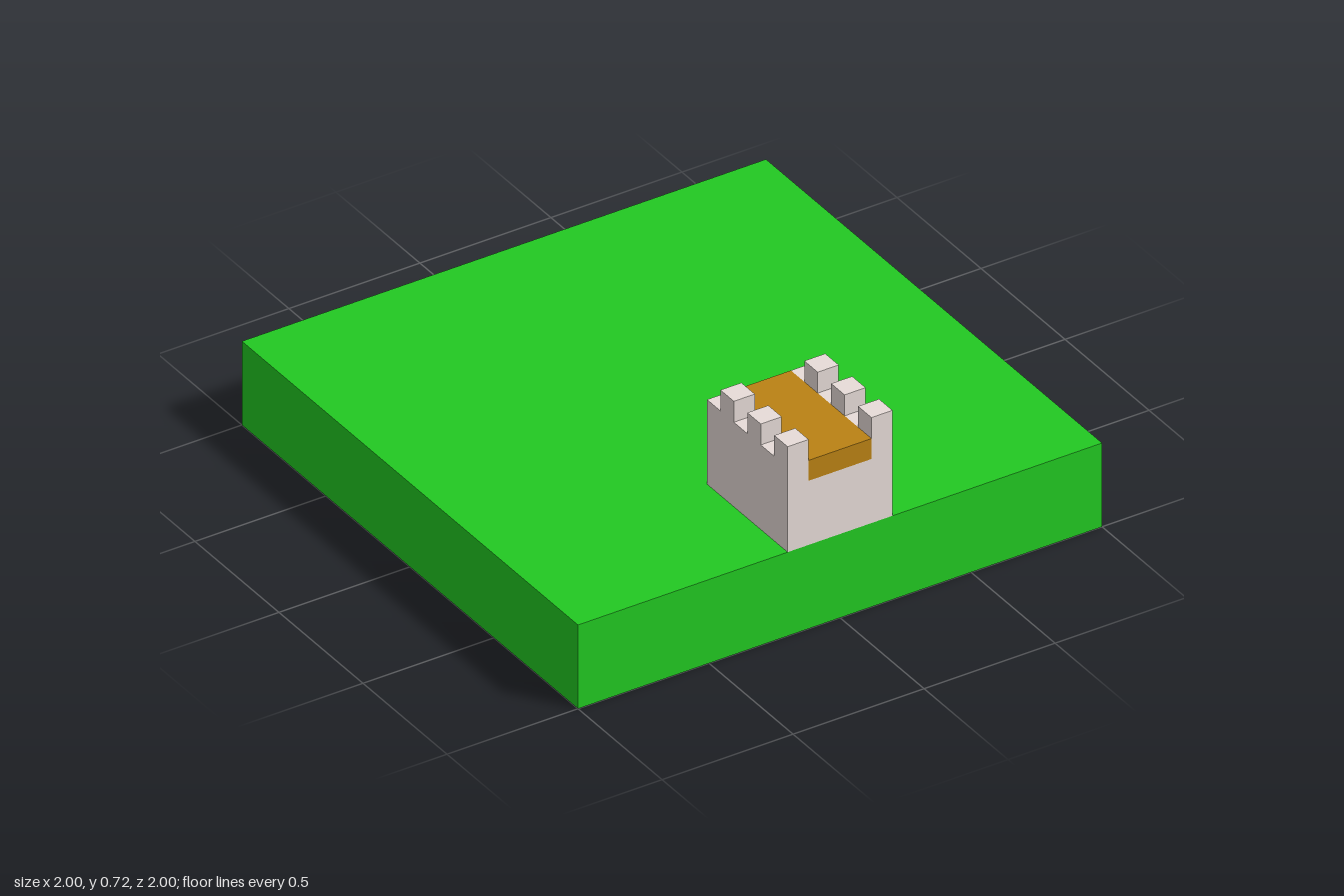
import * as THREE from 'three';

const grass = new THREE.MeshStandardMaterial({ name: 'grass green', color: 0x22c922 });
const stone = new THREE.MeshStandardMaterial({ name: 'pale stone', color: 0xe8ddd9 });
const wood = new THREE.MeshStandardMaterial({ name: 'wood brown', color: 0xba8214 });

// Box given by its lower and upper corners
function block(name, material, [x0, y0, z0], [x1, y1, z1]) {
  const mesh = new THREE.Mesh(new THREE.BoxGeometry(x1 - x0, y1 - y0, z1 - z0), material);
  mesh.position.set((x0 + x1) / 2, (y0 + y1) / 2, (z0 + z1) / 2);
  mesh.name = name;
  return mesh;
}

export function createModel() {
  const model = new THREE.Group();
  model.name = 'gatehouseTile';

  const ground = 0.32, roadBottom = 0.565, wallTop = 0.643, merlonTop = 0.723;
  const outer = 0.2, inner = 0.12, back = 0.52, front = 1;

  // Square slab of ground
  model.add(block('ground', grass, [-1, 0, -1], [1, ground, 1]));

  // Stone body with a channel for the walkway along its top
  const profile = new THREE.Shape([
    [-outer, ground], [outer, ground], [outer, wallTop], [inner, wallTop],
    [inner, roadBottom], [-inner, roadBottom], [-inner, wallTop], [-outer, wallTop],
  ].map(([x, y]) => new THREE.Vector2(x, y)));
  const body = new THREE.Mesh(
    new THREE.ExtrudeGeometry(profile, { depth: front - back, bevelEnabled: false }), stone);
  body.position.z = back;
  body.name = 'wallBody';
  model.add(body);

  // Walkway lying flush in the channel
  model.add(block('walkway', wood, [-inner, roadBottom, back], [inner, wallTop, front]));

  // Three battlements along each side
  for (const [side, x] of [['right', -outer], ['left', inner]]) {
    const row = new THREE.Group();
    row.name = `${side}Battlements`;
    for (let i = 0; i < 3; i++) {
      const z = 0.6 + i * 0.16;
      row.add(block('merlon', stone, [x, wallTop, z], [x + outer - inner, merlonTop, z + 0.08]));
    }
    model.add(row);
  }
  return model;
}
